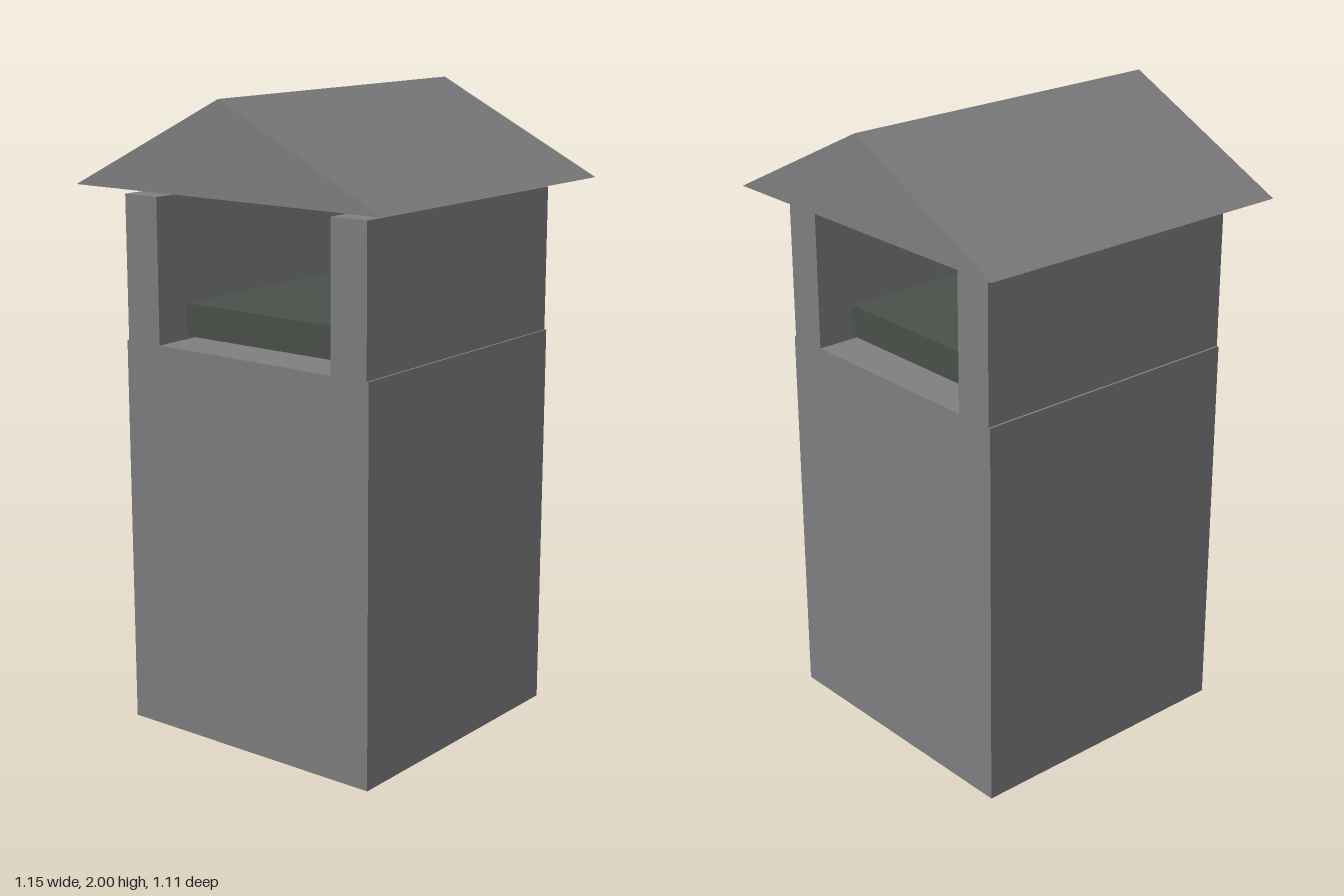
import * as THREE from 'three';

export function createModel() {
  const group = new THREE.Group();
  const grey = new THREE.MeshStandardMaterial({ color: 0x7f7f82, flatShading: true });
  const green = new THREE.MeshStandardMaterial({ color: 0x4a504a, flatShading: true });

  const add = (name, geometry, material, x = 0, y = 0, z = 0) => {
    const mesh = new THREE.Mesh(geometry, material);
    mesh.name = name;
    mesh.position.set(x, y, z);
    group.add(mesh);
  };
  // Box standing on height y
  const box = (name, w, h, d, x, y, material = grey) =>
    add(name, new THREE.BoxGeometry(w, h, d), material, x, y + h / 2);

  // Solid lower block
  box('base', 0.93, 1.236, 0.93, 0, 0);

  // Side walls framing the opening
  for (const [name, side] of [['leftWall', 1], ['rightWall', -1]]) {
    box(name, 0.128, 0.452, 0.93, side * 0.394, 1.236);
  }

  // Low slab hovering just above the floor between the walls
  box('slab', 0.66, 0.102, 0.68, 0, 1.246, green);

  // Gabled roof, floating just clear of the walls
  const gable = new THREE.Shape([
    new THREE.Vector2(-0.573, 1.717),
    new THREE.Vector2(0.573, 1.717),
    new THREE.Vector2(0, 2),
  ]);
  const depth = 1.108;
  add('roof', new THREE.ExtrudeGeometry(gable, { depth, bevelEnabled: false }), grey, 0, 0, -depth / 2);

  return group;
}
